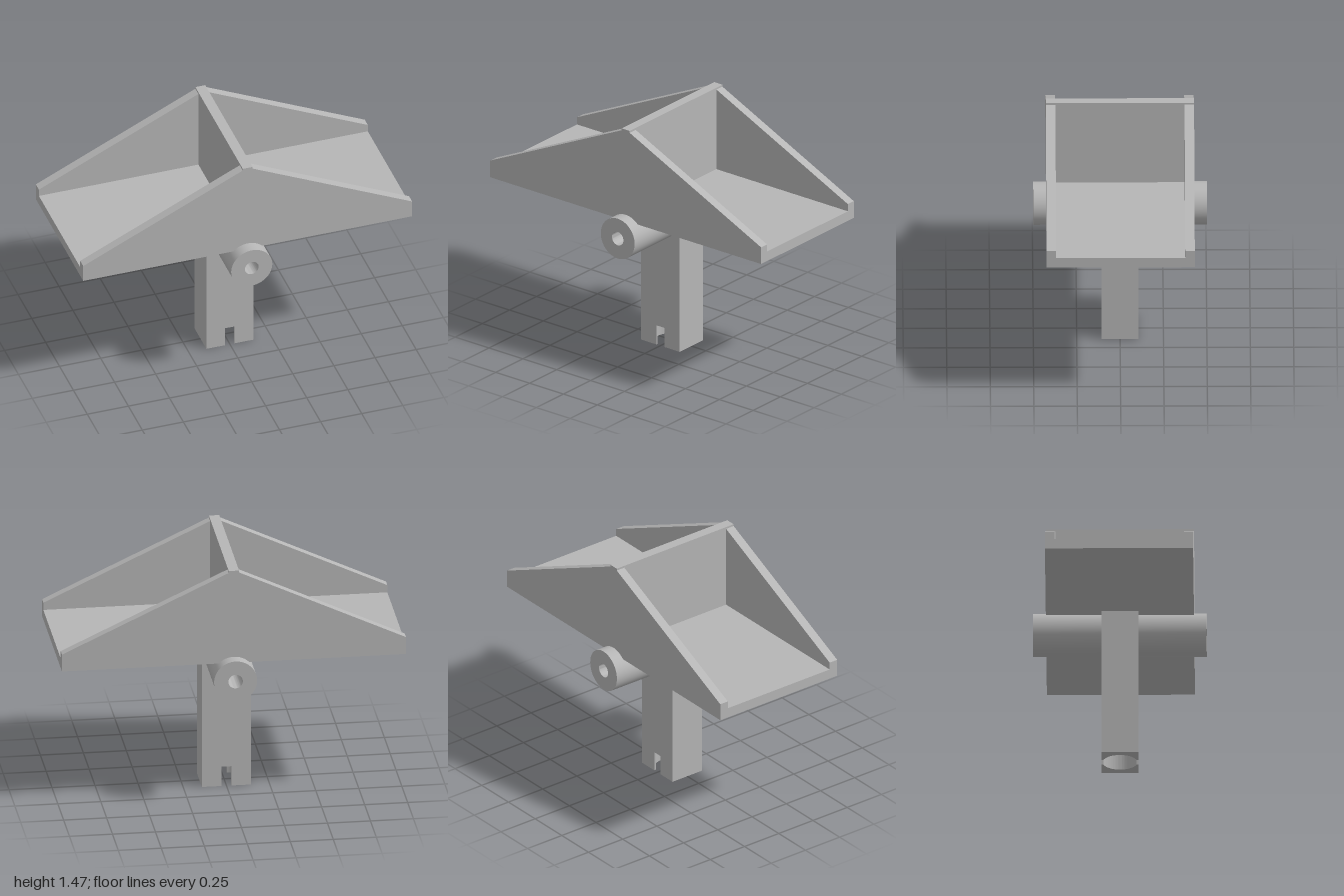
import * as THREE from 'three';
import { toCreasedNormals } from 'three/addons/utils/BufferGeometryUtils.js';

const grey = new THREE.MeshStandardMaterial({ color: 0xb6b6b6 });
grey.name = 'plain grey';

function polygon(points) {
  return new THREE.Shape(points.map(([x, y]) => new THREE.Vector2(x, y)));
}

// Extrudes a shape along z, centred on z = 0
function slab(shape, depth) {
  const g = new THREE.ExtrudeGeometry(shape, { depth, bevelEnabled: false, curveSegments: 32 });
  return toCreasedNormals(g.translate(0, 0, -depth / 2), 0.5);
}

export function createModel() {
  const model = new THREE.Group();
  model.name = 'tippingBucket';

  const add = (parent, name, geometry, x = 0, y = 0, z = 0) => {
    const mesh = new THREE.Mesh(geometry, grey);
    mesh.name = name;
    mesh.position.set(x, y, z);
    parent.add(mesh);
    return mesh;
  };

  // Bucket: two sloping side walls, a floor and a central divider
  const bucket = new THREE.Group();
  bucket.name = 'bucket';
  model.add(bucket);
  const bottom = 0.895, halfDepth = 0.427, wall = 0.055;
  const inner = 2 * (halfDepth - wall);
  const wallShape = polygon([
    [-1, bottom], [1, bottom], [1, 1.0], [0.03, 1.455],
    [0.03, 1.467], [-0.03, 1.467], [-0.03, 1.455], [-1, 1.0],
  ]);
  for (const [name, s] of [['frontWall', 1], ['backWall', -1]]) {
    add(bucket, name, slab(wallShape, wall), 0, 0, s * (halfDepth - wall / 2));
  }
  add(bucket, 'floor', new THREE.BoxGeometry(2, 0.06, inner), 0, bottom + 0.03, 0);
  add(bucket, 'divider', new THREE.BoxGeometry(0.06, 0.512, inner), 0, 1.211, 0);

  // Pivot tube with a through bore
  const axleY = 0.807, R = 0.125, r = 0.042, L = 0.5;
  const profile = [[r, -L], [R, -L], [R, L], [r, L], [r, -L]].map(([x, y]) => new THREE.Vector2(x, y));
  const tube = toCreasedNormals(new THREE.LatheGeometry(profile, 64), 0.5);
  add(model, 'pivotTube', tube, 0, axleY, 0).rotation.x = Math.PI / 2;

  // Post, opened where the tube passes through
  const px = 0.143, pz = 0.107, notch = 0.12;
  const postShape = polygon([[-px, notch], [px, notch], [px, 0.92], [-px, 0.92]]);
  const opening = new THREE.Path();
  opening.absarc(0, axleY, 0.1, 0, Math.PI * 2, true);
  postShape.holes.push(opening);
  add(model, 'post', slab(postShape, pz * 2), 0, 0, 0);

  // Foot: two jaws left by a slot and a round socket in the underside
  const slot = 0.029, socket = 0.1;
  const a = Math.acos(slot / socket);
  const jaw = new THREE.Shape();
  jaw.moveTo(slot, -pz);
  jaw.lineTo(px, -pz);
  jaw.lineTo(px, pz);
  jaw.lineTo(slot, pz);
  jaw.lineTo(slot, socket * Math.sin(a));
  jaw.absarc(0, 0, socket, a, -a, true);
  jaw.closePath();
  for (const [name, turn] of [['leftJaw', 0], ['rightJaw', Math.PI]]) {
    const g = slab(jaw, notch).rotateX(-Math.PI / 2).rotateY(turn);
    add(model, name, g, 0, notch / 2, 0);
  }

  return model;
}
